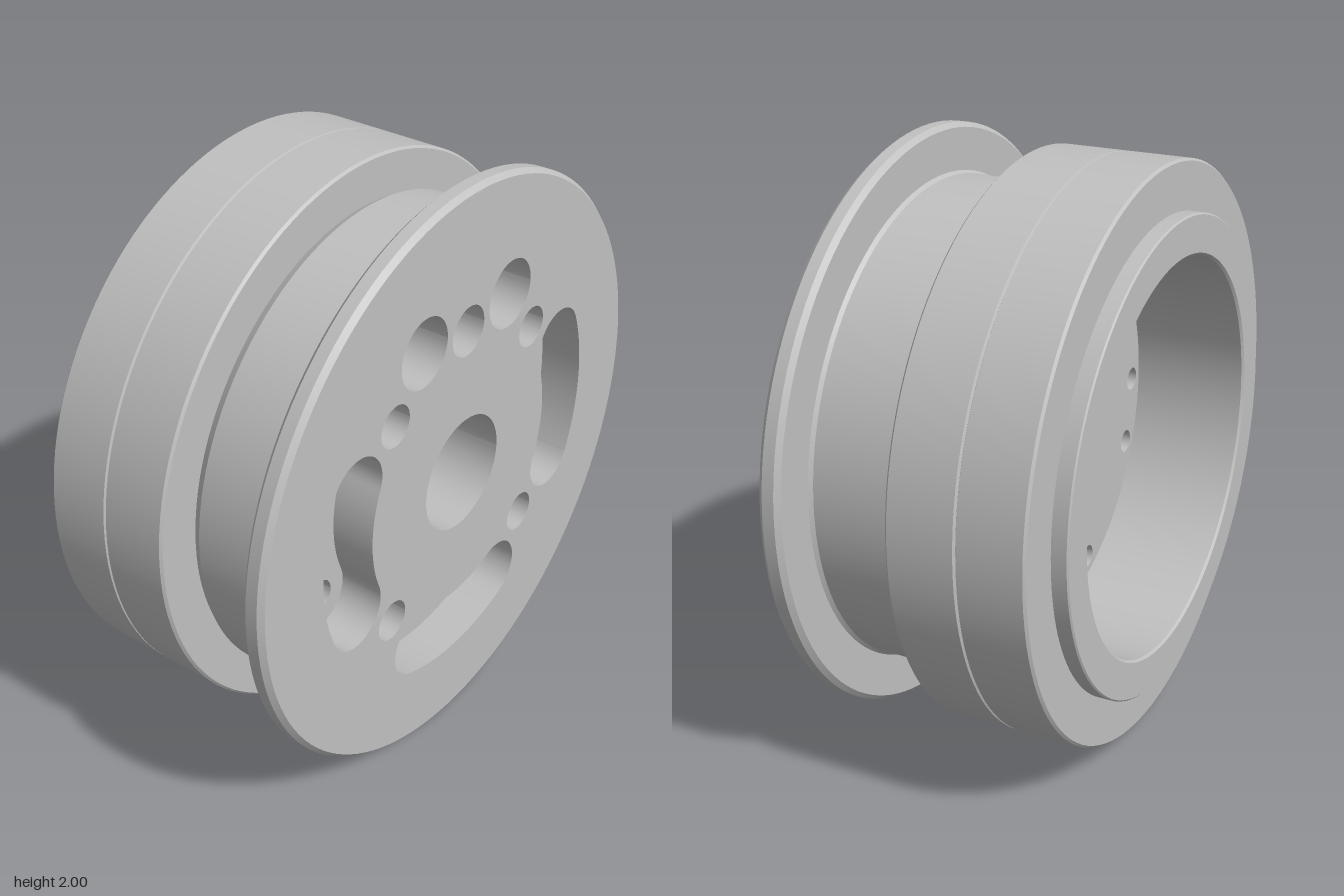
import * as THREE from 'three';
import { toCreasedNormals } from 'three/addons/utils/BufferGeometryUtils.js';

export function createModel() {
  const model = new THREE.Group();
  const grey = new THREE.MeshStandardMaterial({ color: 0xc0c0c0, side: THREE.DoubleSide });
  grey.name = 'machined grey';

  const wheel = new THREE.Group();
  wheel.name = 'wheelHub';
  wheel.position.y = 1; // the axle runs along x at mid height
  model.add(wheel);

  const add = (name, geometry) => {
    const mesh = new THREE.Mesh(geometry, grey);
    mesh.name = name;
    wheel.add(mesh);
  };
  const polar = (r, a) => [r * Math.cos(a), r * Math.sin(a)];
  const deg = THREE.MathUtils.degToRad;

  // Closed outlines, drawn as seen along the axle from +x
  const circle = (r, cx = 0, cy = 0, n = 48) =>
    new THREE.Path().absarc(cx, cy, r, 0, Math.PI * 2, false).getSpacedPoints(n);
  const curvedSlot = (a, mid = 0.6, w = 0.12, h = deg(22.5)) => {
    const p = new THREE.Path();
    p.absarc(0, 0, mid + w, a - h, a + h, false);
    p.absarc(...polar(mid, a + h), w, a + h, a + h + Math.PI, false);
    p.absarc(0, 0, mid - w, a + h, a - h, true);
    p.absarc(...polar(mid, a - h), w, a - h + Math.PI, a - h + Math.PI * 2, false);
    return p.getSpacedPoints(120);
  };

  // Flat face across the axle, with holes
  const face = (name, x, outline, holes = [], back = false) => {
    const shape = new THREE.Shape(outline);
    shape.holes = holes.map((h) => new THREE.Path(h));
    const g = new THREE.ShapeGeometry(shape);
    g.translate(0, 0, x).rotateY(Math.PI / 2);
    if (back) {
      const index = g.index.array;
      for (let i = 0; i < index.length; i += 3) [index[i], index[i + 1]] = [index[i + 1], index[i]];
      g.computeVertexNormals();
    }
    add(name, g);
  };

  // Inward-facing wall of a hole from x0 to x1
  const wall = (name, outline, x0, x1) => {
    const pts = [...outline].reverse();
    const n = pts.length;
    const g = new THREE.PlaneGeometry(1, 1, n - 1, 1);
    for (let i = 0; i < n; i++) {
      g.attributes.position.setXYZ(i, pts[i].x, pts[i].y, x1);
      g.attributes.position.setXYZ(i + n, pts[i].x, pts[i].y, x0);
    }
    g.computeVertexNormals();
    add(name, g.rotateY(Math.PI / 2));
  };

  // Rear bore, boss, grooved tread, drum and flange as one turned profile (radius, x)
  const profile = [
    [0.665, -0.06], [0.665, -0.457], [0.673, -0.465], [0.795, -0.465], [0.8, -0.46], [0.8, -0.41],
    [0.957, -0.41], [0.965, -0.402], [0.965, -0.19], [0.956, -0.185], [0.965, -0.18],
    [0.965, 0.037], [0.957, 0.045], [0.815, 0.045], [0.832, 0.075], [0.832, 0.373],
    [0.842, 0.385], [0.984, 0.385], [1, 0.401], [1, 0.442], [0.985, 0.46],
  ].map(([r, x]) => new THREE.Vector2(r, x));
  const body = new THREE.LatheGeometry(profile, 128).rotateZ(-Math.PI / 2);
  add('turnedBody', toCreasedNormals(body, 0.4));

  // Pockets in the front face: outline, floor position and the bolt holes in it
  const FRONT = 0.46, REAR = -0.06;
  const pockets = [{ name: 'centreBore', outline: circle(0.2, 0, 0, 64), floor: 0.23, bolts: [] }];
  for (const a of [0, 180, 270]) {
    pockets.push({ name: 'curvedSlot', outline: curvedSlot(deg(a)), floor: 0.31, bolts: [a - 22.5, a, a + 22.5] });
  }
  for (const a of [67.5, 112.5]) {
    pockets.push({ name: 'roundPocket', outline: circle(0.117, ...polar(0.6, deg(a))), floor: 0.24, bolts: [a] });
  }
  for (const a of [45, 135, 225, 315]) {
    pockets.push({ name: 'smallPocket', outline: circle(0.071, ...polar(0.525, deg(a))), floor: 0.24, bolts: [] });
  }
  pockets.push({ name: 'topPocket', outline: circle(0.085, 0, 0.525), floor: 0.2, bolts: [] });

  const boltHoles = [];
  for (const { name, outline, floor, bolts } of pockets) {
    const recesses = [];
    for (const b of bolts) {
      const c = polar(0.6, deg(b));
      const recess = circle(0.058, ...c, 32);
      const bolt = circle(0.041, ...c, 32);
      // Counterbored through hole
      wall('boltRecess', recess, floor - 0.04, floor);
      face('boltSeat', floor - 0.04, recess, [bolt]);
      wall('boltHole', bolt, REAR, floor - 0.04);
      recesses.push(recess);
      boltHoles.push(bolt);
    }
    wall(name + 'Wall', outline, floor, FRONT);
    face(name + 'Floor', floor, outline, recesses);
  }

  // Front face and the web at the bottom of the rear bore
  face('frontFace', FRONT, circle(0.985, 0, 0, 128), pockets.map((p) => p.outline));
  face('rearWeb', REAR, circle(0.665, 0, 0, 128), boltHoles, true);

  return model;
}
